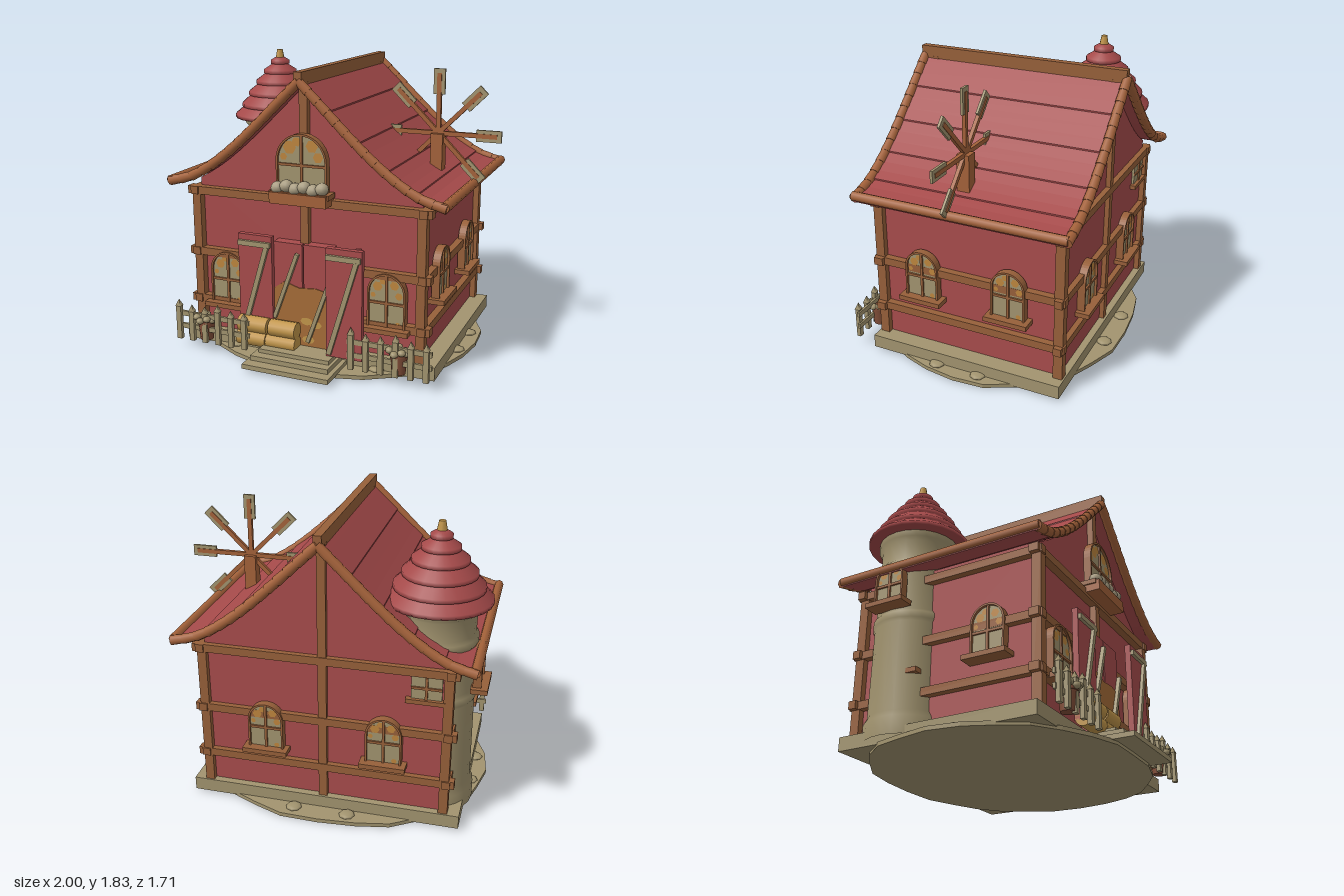
import * as THREE from 'three';

const mat = (name, color) => Object.assign(new THREE.MeshStandardMaterial({ color }), { name });
const M = {
  red: mat('barn red', 0xa84c4c), roof: mat('roof red', 0xa54a4a), beam: mat('beam brown', 0x97603a),
  log: mat('log brown', 0xa4623a), stone: mat('weathered beige', 0xa2946f), gold: mat('straw gold', 0xc2964a),
  rust: mat('straw brown', 0xa56c38), amber: mat('pane amber', 0xbe863e), pot: mat('pot brown', 0x85503a),
  cream: mat('pale cream', 0xaca084),
};
const CX = -0.055, ZF = 0.52, ZB = -0.68;

function add(parent, name, geo, material, x = 0, y = 0, z = 0) {
  const m = new THREE.Mesh(geo, material);
  m.name = name;
  m.position.set(x, y, z);
  parent.add(m);
  return m;
}
// box given by its min and max on each axis
function box(parent, name, material, x0, x1, y0, y1, z0, z1) {
  return add(parent, name, new THREE.BoxGeometry(x1 - x0, y1 - y0, z1 - z0), material,
    (x0 + x1) / 2, (y0 + y1) / 2, (z0 + z1) / 2);
}
// flat board between two points of the xy plane
function board(parent, name, material, x0, y0, x1, y1, w, d, z) {
  const m = add(parent, name, new THREE.BoxGeometry(Math.hypot(x1 - x0, y1 - y0), w, d), material,
    (x0 + x1) / 2, (y0 + y1) / 2, z);
  m.rotation.z = Math.atan2(y1 - y0, x1 - x0);
}
function extrude(shape, depth) {
  return new THREE.ExtrudeGeometry(shape, { depth, bevelEnabled: false, curveSegments: 10 });
}
const polygon = pts => new THREE.Shape(pts.map(p => new THREE.Vector2(...p)));

// roof slope as [distance from ridge, height]
const slope = new THREE.SplineCurve([[0, 1.75], [0.15, 1.605], [0.3, 1.46], [0.45, 1.325],
  [0.6, 1.21], [0.75, 1.125], [0.9, 1.085]].map(p => new THREE.Vector2(...p)));

function archShape(w, h) {
  const s = new THREE.Shape(), r = w / 2;
  s.moveTo(-r, 0); s.lineTo(r, 0); s.lineTo(r, h - r);
  s.absarc(0, h - r, r, 0, Math.PI, false);
  s.lineTo(-r, 0);
  return s;
}

// arched window facing +z, standing on its sill
function windowUnit(parent, w, h, x, y, z, turn = 0) {
  const g = new THREE.Group();
  g.name = 'window';
  g.position.set(x, y, z);
  g.rotation.y = turn;
  const frame = archShape(w, h);
  frame.holes.push(new THREE.Path(archShape(w - 0.024, h - 0.012).getPoints(10)));
  add(g, 'windowFrame', extrude(frame, 0.05), M.beam);
  add(g, 'windowPane', extrude(archShape(w - 0.02, h - 0.01), 0.034), M.stone);
  box(g, 'windowBar', M.beam, -0.008, 0.008, 0.01, h - 0.01, 0, 0.045);
  box(g, 'windowBar', M.beam, -w / 2 + 0.01, w / 2 - 0.01, h * 0.45, h * 0.45 + 0.016, 0, 0.045);
  // worn patches on the pane
  [[-0.24, 0.76, 0.13], [0.2, 0.8, 0.12], [0.32, 0.62, 0.1], [-0.1, 0.86, 0.09], [0.3, 0.1, 0.08], [-0.36, 0.6, 0.07]]
    .forEach(([u, v, r]) => add(g, 'panePatch', new THREE.CircleGeometry(r * w, 6), M.amber, u * w, v * h, 0.036));
  box(g, 'windowSill', M.beam, -w / 2 - 0.03, w / 2 + 0.03, -0.015, 0.015, -0.01, 0.09);
  parent.add(g);
}

function buildHouse(root) {
  const g = new THREE.Group();
  g.name = 'house';
  root.add(g);
  // wall body with gables
  const rise = [...slope.getPoints(12).filter(p => p.x < 0.7).map(p => [p.x, p.y - 0.03]), [0.735, 1.1], [0.735, 0.09]];
  const wall = polygon([...rise.slice(1).map(([x, y]) => [CX - x, y]).reverse(), ...rise.map(([x, y]) => [CX + x, y])]);
  add(g, 'walls', extrude(wall, 1.175), M.red, 0, 0, -0.675);
  box(g, 'foundation', M.stone, -0.9, 0.79, 0.015, 0.1, -0.72, 0.56);
  // timber frame
  for (const x of [CX - 0.745, CX + 0.745])
    for (const z of [ZF, ZB]) box(g, 'cornerPost', M.beam, x - 0.028, x + 0.028, 0.1, 1.05, z - 0.03, z + 0.03);
  for (const y of [0.305, 0.625, 1.025]) {
    const [a, b] = [y - 0.025, y + 0.025];
    for (const s of [-1, 1]) {
      const x = CX + s * 0.755;
      box(g, 'sideBeam', M.beam, x - 0.025, x + 0.025, a, b, -0.72, 0.56);
    }
    box(g, 'backBeam', M.beam, -0.86, 0.75, a, b, ZB - 0.03, ZB + 0.02);
    if (y > 1) box(g, 'frontBeam', M.beam, -0.86, 0.75, a, b, 0.49, 0.55);
    else {
      box(g, 'frontBeam', M.beam, -0.86, -0.27, a, b, 0.49, 0.55);
      box(g, 'frontBeam', M.beam, 0.16, 0.75, a, b, 0.49, 0.55);
    }
  }
  box(g, 'frontGablePost', M.beam, CX - 0.026, CX + 0.026, 0.72, 1.74, 0.49, 0.54);
  box(g, 'backGablePost', M.beam, CX - 0.026, CX + 0.026, 0.1, 1.74, ZB - 0.025, ZB + 0.02);
  // windows
  for (const x of [-0.59, 0.48]) windowUnit(g, 0.24, 0.35, x, 0.29, 0.51);
  for (const s of [-1, 1])
    for (const z of [0.22, -0.36]) windowUnit(g, 0.22, 0.32, CX + s * 0.745, 0.43, z, s * Math.PI / 2);
  for (const x of [0.3, -0.43]) windowUnit(g, 0.22, 0.31, x, 0.39, -0.675, Math.PI);
  windowUnit(g, 0.33, 0.36, CX, 1.08, 0.53);
  // small square window under the back beam
  box(g, 'squareWindowPane', M.stone, -0.76, -0.58, 0.85, 0.99, -0.69, -0.67);
  box(g, 'squareWindowBar', M.beam, -0.678, -0.662, 0.85, 0.99, -0.7, -0.67);
  box(g, 'squareWindowBar', M.beam, -0.76, -0.58, 0.915, 0.93, -0.7, -0.67);
  box(g, 'squareWindowSill', M.beam, -0.79, -0.55, 0.825, 0.852, -0.712, -0.67);
  // produce box under the gable window
  box(g, 'windowBox', M.log, -0.24, 0.13, 1.02, 1.09, 0.52, 0.64);
  for (let i = 0; i < 6; i++) {
    const ball = add(g, 'boxProduce', new THREE.SphereGeometry(0.042, 10, 8), M.cream, -0.2 + i * 0.058, 1.112 + (i % 2) * 0.014, 0.6);
    ball.scale.y = 0.9;
  }
}

function buildRoof(root) {
  const g = new THREE.Group();
  g.name = 'roof';
  root.add(g);
  const N = 5, n = 14;
  for (const s of [-1, 1]) {
    // overlapping shingle courses
    for (let i = 0; i < N; i++) {
      const at = [0, 1, 2, 3].map(k => slope.getPoint((i + k / 3) / N));
      const pts = [...at.map((p, k) => [p.x, p.y + 0.003 * k]), ...at.map(p => [p.x, p.y - 0.025]).reverse()];
      add(g, 'shingleCourse', extrude(polygon(pts.map(([x, y]) => [CX + s * x, y])), 1.37), M.roof, 0, 0, -0.77);
    }
    // log trim along both gables
    for (const z of [0.595, -0.765])
      for (let i = 0; i < n; i++) {
        const a = slope.getPointAt(i / n), b = slope.getPointAt((i + 1) / n);
        const len = a.distanceTo(b);
        const log = add(g, 'gableLog', new THREE.CylinderGeometry(0.028, 0.032, len * 1.08, 8), M.log,
          CX + s * (a.x + b.x) / 2, (a.y + b.y) / 2, z);
        log.rotation.z = s * Math.atan2(b.x - a.x, a.y - b.y);
      }
    const eave = add(g, 'eaveLog', new THREE.CylinderGeometry(0.03, 0.03, 1.38, 8), M.log, CX + s * 0.89, 1.093, -0.08);
    eave.rotation.x = Math.PI / 2;
  }
  box(g, 'ridgeBeam', M.beam, CX - 0.025, CX + 0.025, 1.72, 1.805, -0.77, 0.61);
}

function buildTower(root) {
  const g = new THREE.Group();
  g.name = 'tower';
  g.position.set(-0.675, 0, -0.4);
  root.add(g);
  const lathe = pts => new THREE.LatheGeometry(pts.map(p => new THREE.Vector2(...p)), 24);
  add(g, 'towerWall', lathe([[0.265, 0.05], [0.265, 0.16], [0.245, 0.2], [0.24, 0.75], [0.25, 0.77],
    [0.25, 0.81], [0.235, 0.83], [0.232, 1.1], [0.245, 1.12], [0.245, 1.16], [0.228, 1.18], [0.23, 1.3], [0.25, 1.32], [0.25, 1.37]]), M.stone);
  // tiered cone roof
  const tiers = [[0.318, 1.36], [0.27, 1.435], [0.222, 1.515], [0.168, 1.592], [0.115, 1.665], [0.065, 1.73]];
  const profile = [[0, 1.36]];
  tiers.forEach(([r, y], i) => {
    const next = tiers[i + 1] || [0.045, 1.775];
    profile.push([r, y], [r, y + 0.025], [next[0] - 0.012, next[1]]);
  });
  profile.push([0, 1.775]);
  add(g, 'towerRoof', lathe(profile), M.roof);
  add(g, 'finial', new THREE.CylinderGeometry(0.02, 0.035, 0.08, 8), M.gold, 0, 1.79);
  windowUnit(g, 0.2, 0.27, -0.235, 0.85, 0, -Math.PI / 2);
}

function buildWindmill(root) {
  const g = new THREE.Group();
  g.name = 'windmill';
  g.position.set(0.6, 1.39, -0.03);
  root.add(g);
  box(g, 'windmillPost', M.log, -0.038, 0.038, -0.24, 0, -0.04, 0.04);
  for (let i = 0; i < 8; i++) {
    if (i === 6) continue;
    const blade = new THREE.Group();
    blade.name = 'blade';
    blade.rotation.z = i * Math.PI / 4;
    box(blade, 'bladeArm', M.log, 0, 0.37, -0.014, 0.014, -0.012, 0.012);
    box(blade, 'bladePaddle', M.stone, 0.24, 0.397, -0.036, 0.036, -0.008, 0.008);
    g.add(blade);
  }
}

function buildEntrance(root) {
  const g = new THREE.Group();
  g.name = 'entrance';
  root.add(g);
  for (const [x0, x1] of [[-0.25, -0.06], [-0.05, 0.14]]) box(g, 'door', M.red, x0, x1, 0.1, 0.76, 0.5, 0.57);
  // side doors with their braces, the right one standing further out
  for (const [x0, x1, z] of [[-0.48, -0.25, 0.565], [0.14, 0.37, 0.63]]) {
    box(g, 'sideDoor', M.red, x0, x1, 0.11, 0.795, z, z + 0.037);
    box(g, 'sideDoorRail', M.stone, x0 + 0.005, x1 - 0.005, 0.725, 0.757, z + 0.03, z + 0.057);
    board(g, 'sideDoorBrace', M.stone, x0 + 0.02, 0.13, x1 - 0.03, 0.73, 0.03, 0.025, z + 0.045);
  }
  board(g, 'doorBrace', M.stone, -0.245, 0.27, -0.085, 0.7, 0.024, 0.025, 0.585);
  board(g, 'doorBrace', M.stone, -0.02, 0.14, 0.14, 0.58, 0.024, 0.025, 0.585);
  // lantern behind the right side door
  add(g, 'lantern', new THREE.CylinderGeometry(0.03, 0.022, 0.1, 8), M.gold, 0.32, 0.715, 0.592);
  add(g, 'lanternCap', new THREE.CylinderGeometry(0.015, 0.034, 0.025, 8), M.red, 0.32, 0.777, 0.592);
  // straw stain at the foot of the doors
  add(g, 'doorStain', extrude(polygon([[-0.25, 0.1], [0.135, 0.1], [0.135, 0.47], [0.03, 0.49], [-0.08, 0.48], [-0.18, 0.51], [-0.25, 0.46]]), 0.006), M.rust, 0, 0, 0.57);
  for (const [x, y] of [[-0.03, 0.27], [0.03, 0.255], [-0.02, 0.15]]) {
    const patch = add(g, 'strawPatch', new THREE.CircleGeometry(0.042, 8), M.gold, x, y, 0.579);
    patch.scale.y = 0.6;
  }
  // hay bales
  for (const [x, y, w] of [[-0.38, 0.125, 0.2], [-0.175, 0.125, 0.2], [-0.37, 0.215, 0.2], [-0.165, 0.215, 0.18]]) {
    const bale = add(g, 'hayBale', new THREE.CylinderGeometry(0.053, 0.053, w, 12), M.gold, x, y, 0.62);
    bale.rotation.z = Math.PI / 2;
  }
  // steps
  box(g, 'step', M.stone, -0.34, 0.23, 0.02, 0.05, 0.5, 0.855);
  box(g, 'step', M.stone, -0.32, 0.2, 0.05, 0.08, 0.5, 0.785);
  box(g, 'step', M.stone, -0.29, 0.18, 0.08, 0.105, 0.5, 0.725);
}

function buildYard(root) {
  const g = new THREE.Group();
  g.name = 'yard';
  root.add(g);
  // uneven ground slab
  const outline = [], soft = t => Math.sign(t) * Math.abs(t) ** 0.92;
  for (let i = 0; i < 28; i++) {
    const a = i / 28 * Math.PI * 2, k = 1 + 0.012 * Math.sin(i * 2.3);
    outline.push([CX + 0.935 * k * soft(Math.cos(a)), 0.055 + 0.8 * k * soft(Math.sin(a))]);
  }
  const ground = add(g, 'ground', extrude(polygon(outline), 0.025), M.stone);
  ground.rotation.x = -Math.PI / 2;
  for (let i = 0; i < 16; i++) {
    const a = i * Math.PI / 8 + 0.2;
    const pebble = add(g, 'pebble', new THREE.SphereGeometry(0.05, 8, 6), M.stone, CX + 0.87 * Math.cos(a), 0.028, -0.05 + 0.73 * Math.sin(a));
    pebble.scale.y = 0.35;
  }
  // picket fences
  for (const x0 of [-0.885, 0.305]) {
    for (let i = 0; i < 6; i++) {
      const x = x0 + i * 0.094, h = 0.2 + (i % 3 ? 0 : 0.025);
      box(g, 'picket', M.stone, x - 0.017, x + 0.017, 0.06, 0.06 + h, 0.665, 0.692);
      const tip = add(g, 'picketTip', new THREE.ConeGeometry(0.026, 0.045, 4), M.stone, x, 0.08 + h, 0.678);
      tip.rotation.y = Math.PI / 4;
    }
    for (const y of [0.145, 0.23]) box(g, 'fenceRail', M.stone, x0 - 0.03, x0 + 0.5, y - 0.016, y + 0.016, 0.655, 0.672);
  }
  // pots of produce
  for (const x of [-0.71, 0.595]) {
    add(g, 'pot', new THREE.CylinderGeometry(0.055, 0.042, 0.13, 12), M.pot, x, 0.135, 0.64);
    add(g, 'potRim', new THREE.CylinderGeometry(0.058, 0.058, 0.02, 12), M.pot, x, 0.195, 0.64);
    for (let i = 0; i < 7; i++) {
      const a = i * 0.9;
      const fruit = add(g, 'potProduce', new THREE.SphereGeometry(0.026, 8, 6), M.stone,
        x + 0.052 * Math.cos(a), 0.208 + (i % 2) * 0.014, 0.655 + 0.045 * Math.sin(a));
      fruit.scale.y = 0.8;
    }
  }
}

export function createModel() {
  const root = new THREE.Group();
  root.name = 'farmhouse';
  [buildHouse, buildRoof, buildTower, buildWindmill, buildEntrance, buildYard].forEach(f => f(root));
  return root;
}
